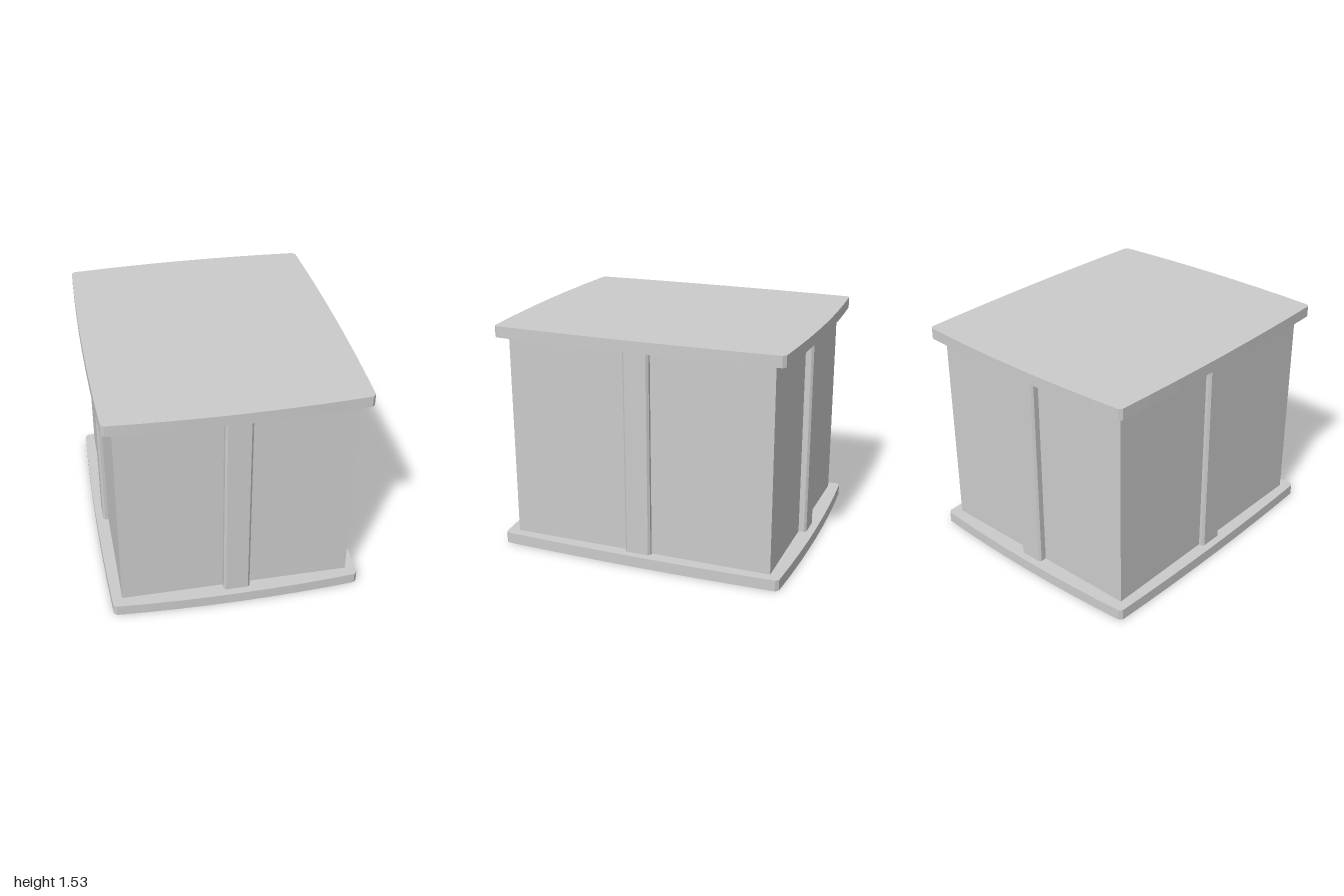
import * as THREE from 'three';

const material = new THREE.MeshStandardMaterial({ color: 0xcccccc });

const PLATE = 0.075, HEIGHT = 1.53;
const BODY_X = 0.765, BODY_Z = 0.897;
const WALL = HEIGHT - 2 * PLATE;

// Extrudes a plan outline upward from the given height.
function prism(name, shape, depth, y, curveSegments = 8) {
  const geometry = new THREE.ExtrudeGeometry(shape, { depth, bevelEnabled: false, curveSegments });
  geometry.rotateX(-Math.PI / 2);
  const mesh = new THREE.Mesh(geometry, material);
  mesh.name = name;
  mesh.position.y = y;
  return mesh;
}

// Bowed rectangle with small chamfered corners.
function plateShape() {
  const x = 0.81, z = 0.97, cx = 0.83, cz = 0.95;
  const s = new THREE.Shape();
  s.moveTo(-x, -z);
  s.quadraticCurveTo(0, -1.03, x, -z);
  s.lineTo(cx, -cz);
  s.quadraticCurveTo(0.87, 0, cx, cz);
  s.lineTo(x, z);
  s.quadraticCurveTo(0, 1.03, -x, z);
  s.lineTo(-cx, cz);
  s.quadraticCurveTo(-0.87, 0, -cx, -cz);
  s.closePath();
  return s;
}

// Strip section: its outer face lies toward -y in plan (+z after rotation).
function stripShape(protrusion) {
  const w = 0.088, c = 0.014, inset = 0.02;
  return new THREE.Shape([
    [-w, inset], [-w, -protrusion + c], [-w + c, -protrusion],
    [w - c, -protrusion], [w, -protrusion + c], [w, inset],
  ].map(([a, b]) => new THREE.Vector2(a, b)));
}

export function createModel() {
  const group = new THREE.Group();
  group.name = 'box';

  // Plain walls
  const body = new THREE.Mesh(new THREE.BoxGeometry(2 * BODY_X, WALL, 2 * BODY_Z), material);
  body.name = 'body';
  body.position.y = HEIGHT / 2;
  group.add(body);

  // Overhanging base and lid
  group.add(prism('basePlate', plateShape(), PLATE, 0));
  group.add(prism('topPlate', plateShape(), PLATE, HEIGHT - PLATE));

  // One chamfered vertical strip in the middle of each wall
  ['frontStrip', 'leftStrip', 'backStrip', 'rightStrip'].forEach((name, i) => {
    const onSide = i % 2 === 1;
    const strip = prism(name, stripShape(onSide ? 0.035 : 0.052), WALL, PLATE);
    const angle = i * Math.PI / 2;
    const distance = onSide ? BODY_X : BODY_Z;
    strip.rotation.y = angle;
    strip.position.x = Math.sin(angle) * distance;
    strip.position.z = Math.cos(angle) * distance;
    group.add(strip);
  });

  return group;
}
